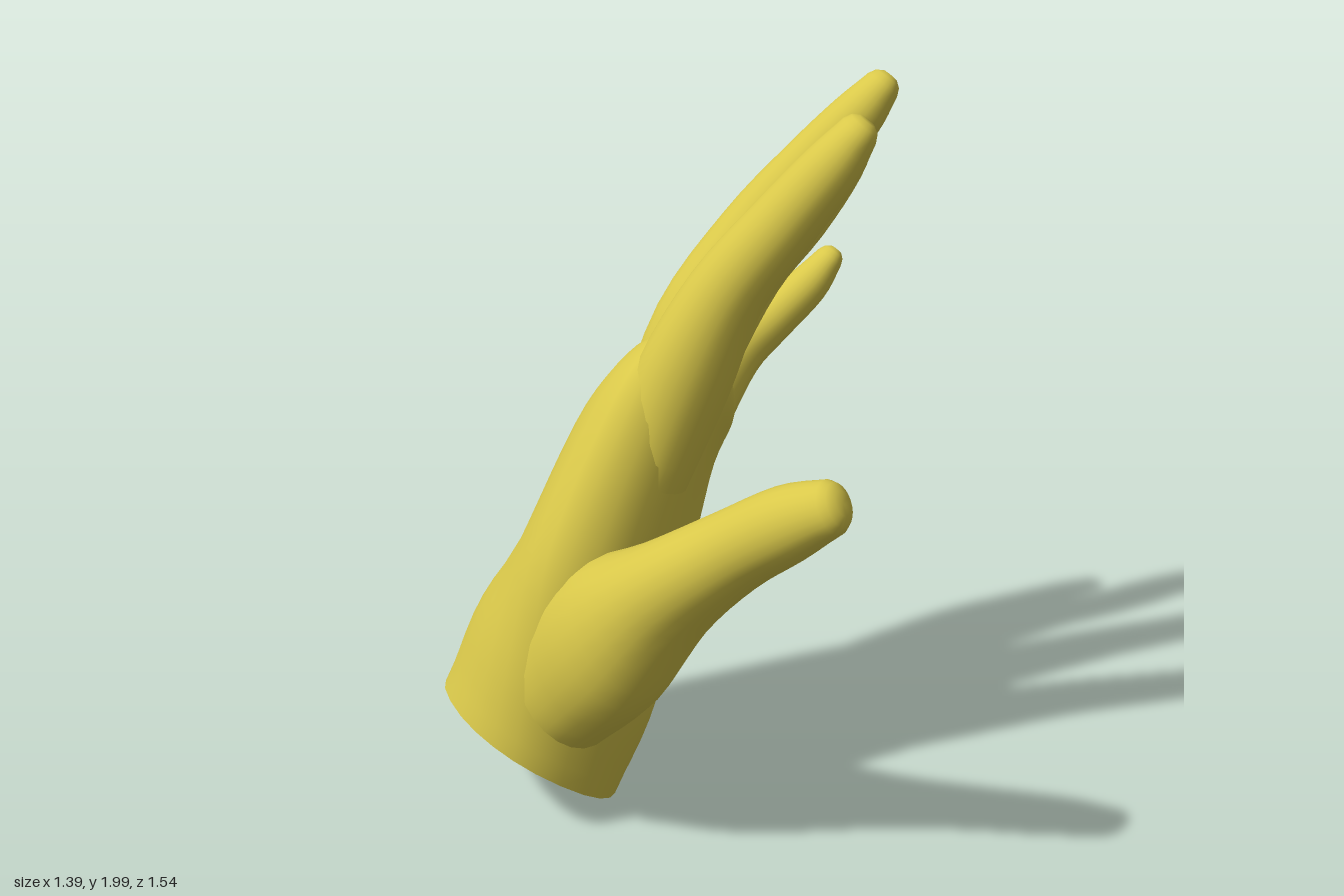
import * as THREE from 'three';

const SIDES = 24;
const v = (p) => new THREE.Vector3(...p);
const smooth = (points) => new THREE.CatmullRomCurve3(points.map(v), false, 'catmullrom', 0.5);

// Skin a list of closed rings, ending in a centre point at the far end.
function skin(rings) {
  const pos = [], index = [];
  rings.forEach((ring) => ring.forEach((p) => pos.push(p.x, p.y, p.z)));
  for (let i = 0; i < rings.length - 1; i++) {
    for (let k = 0; k < SIDES; k++) {
      const a = i * SIDES + k, b = i * SIDES + (k + 1) % SIDES;
      index.push(a, b, b + SIDES, a, b + SIDES, a + SIDES);
    }
  }
  const last = rings.length - 1;
  const mid = new THREE.Vector3();
  rings[last].forEach((p) => mid.addScaledVector(p, 1 / SIDES));
  pos.push(mid.x, mid.y, mid.z);
  for (let k = 0; k < SIDES; k++) {
    index.push(last * SIDES + k, last * SIDES + (k + 1) % SIDES, rings.length * SIDES);
  }
  const geo = new THREE.BufferGeometry();
  geo.setAttribute('position', new THREE.Float32BufferAttribute(pos, 3));
  geo.setIndex(index);
  geo.computeVertexNormals();
  return geo;
}

// Finger: a path of [x, y, z] points with [half width, half thickness] at each.
function fingerGeometry(path, sizes, sideRef) {
  const curve = smooth(path);
  const size = smooth(sizes.map(([a, b]) => [a, b, 0]));
  const rings = [];
  const steps = (path.length - 1) * 4;
  const addRing = (c, side, up, w, h) => {
    const ring = [];
    for (let k = 0; k < SIDES; k++) {
      const a = (k / SIDES) * Math.PI * 2;
      ring.push(c.clone().addScaledVector(side, w * Math.cos(a)).addScaledVector(up, h * Math.sin(a)));
    }
    rings.push(ring);
  };
  for (let i = 0; i <= steps; i++) {
    const c = curve.getPoint(i / steps), t = curve.getTangent(i / steps), s = size.getPoint(i / steps);
    const side = v(sideRef).addScaledVector(t, -t.dot(v(sideRef))).normalize();
    const up = t.clone().cross(side);
    addRing(c, side, up, s.x, s.y);
    // rounded fingertip
    if (i === steps) {
      addRing(c.clone().addScaledVector(t, 0.02), side, up, s.x * 0.8, s.y * 0.8);
      addRing(c.clone().addScaledVector(t, 0.032), side, up, s.x * 0.45, s.y * 0.45);
    }
  }
  return skin(rings);
}

// Palm sections: centre, half width towards the thumb, half depth towards the palm, hollow.
const PALM = [
  { c: [-0.475, 0.15, -0.26], w: [0, 0, 0.31], d: [0.225, -0.15, 0], h: 0 },
  { c: [-0.34, 0.41, -0.27], w: [-0.08, 0.05, 0.37], d: [0.255, -0.15, 0.02], h: 0.05 },
  { c: [-0.2, 0.68, -0.27], w: [-0.19, 0.11, 0.385], d: [0.225, -0.12, 0.05], h: 0.25 },
  { c: [-0.07, 0.99, -0.28], w: [-0.16, 0.17, 0.36], d: [0.19, -0.1, 0.05], h: 0.3 },
  { c: [0.02, 1.14, -0.29], w: [-0.14, 0.19, 0.31], d: [0.135, -0.08, 0.04], h: 0.15 },
  { c: [0.06, 1.22, -0.29], w: [-0.1, 0.14, 0.23], d: [0.06, -0.035, 0.02], h: 0 },
];

function palmRings() {
  const [c, w, d] = ['c', 'w', 'd'].map((key) => smooth(PALM.map((s) => s[key])));
  const hollow = smooth(PALM.map((s) => [s.h, 0, 0]));
  const rings = [];
  const steps = 25;
  const soften = (n) => Math.sign(n) * Math.pow(Math.abs(n), 0.9);
  for (let i = 0; i <= steps; i++) {
    const t = i / steps, ring = [];
    for (let k = 0; k < SIDES; k++) {
      const a = (k / SIDES) * Math.PI * 2;
      const across = soften(Math.cos(a));
      let deep = soften(Math.sin(a));
      if (deep > 0) deep *= 1 - hollow.getPoint(t).x * deep * deep;
      ring.push(c.getPoint(t).addScaledVector(w.getPoint(t), across).addScaledVector(d.getPoint(t), deep));
    }
    rings.push(ring);
  }
  return rings;
}

const FINGERS = {
  indexFinger: {
    path: [[-0.2, 1.0, -0.03], [-0.1, 1.26, 0.0], [0.0, 1.49, 0.045], [0.13, 1.68, 0.11], [0.24, 1.83, 0.16], [0.305, 1.925, 0.185]],
    sizes: [[0.12, 0.12], [0.12, 0.13], [0.103, 0.105], [0.09, 0.09], [0.078, 0.075], [0.06, 0.05]],
  },
  middleFinger: {
    path: [[-0.1, 1.02, -0.24], [0.03, 1.32, -0.25], [0.19, 1.56, -0.25], [0.34, 1.73, -0.235], [0.47, 1.86, -0.225], [0.545, 1.945, -0.22]],
    sizes: [[0.12, 0.12], [0.12, 0.125], [0.1, 0.1], [0.085, 0.085], [0.076, 0.072], [0.058, 0.048]],
  },
  ringFinger: {
    path: [[-0.02, 0.92, -0.43], [0.12, 1.17, -0.485], [0.29, 1.37, -0.525], [0.44, 1.51, -0.535], [0.57, 1.65, -0.56], [0.645, 1.75, -0.58]],
    sizes: [[0.11, 0.11], [0.11, 0.12], [0.09, 0.095], [0.084, 0.082], [0.076, 0.07], [0.056, 0.046]],
  },
  littleFinger: {
    path: [[0.03, 0.78, -0.54], [0.15, 0.94, -0.605], [0.3, 1.07, -0.68], [0.42, 1.16, -0.698], [0.54, 1.25, -0.715], [0.61, 1.325, -0.72]],
    sizes: [[0.09, 0.1], [0.09, 0.11], [0.072, 0.08], [0.068, 0.068], [0.062, 0.06], [0.048, 0.04]],
  },
  thumb: {
    path: [[-0.43, 0.42, -0.04], [-0.35, 0.62, 0.14], [-0.25, 0.81, 0.32], [-0.14, 0.96, 0.47], [-0.04, 1.08, 0.61], [0.03, 1.15, 0.71]],
    sizes: [[0.2, 0.15], [0.215, 0.17], [0.14, 0.145], [0.108, 0.11], [0.096, 0.092], [0.07, 0.06]],
    side: [0, 0.75, -0.65],
  },
};

export function createModel() {
  const hand = new THREE.Group();
  hand.name = 'hand';
  const skinYellow = new THREE.MeshStandardMaterial({ color: 0xd9c84a });
  skinYellow.name = 'mustard yellow';
  const add = (name, geometry) => {
    const mesh = new THREE.Mesh(geometry, skinYellow);
    mesh.name = name;
    hand.add(mesh);
  };

  const rings = palmRings();
  add('palm', skin(rings));
  // flat cut at the wrist, kept separate for a sharp edge
  add('wristCap', skin([rings[0].slice().reverse()]));

  for (const [name, f] of Object.entries(FINGERS)) {
    add(name, fingerGeometry(f.path, f.sizes, f.side ?? [0, 0, 1]));
  }
  return hand;
}
